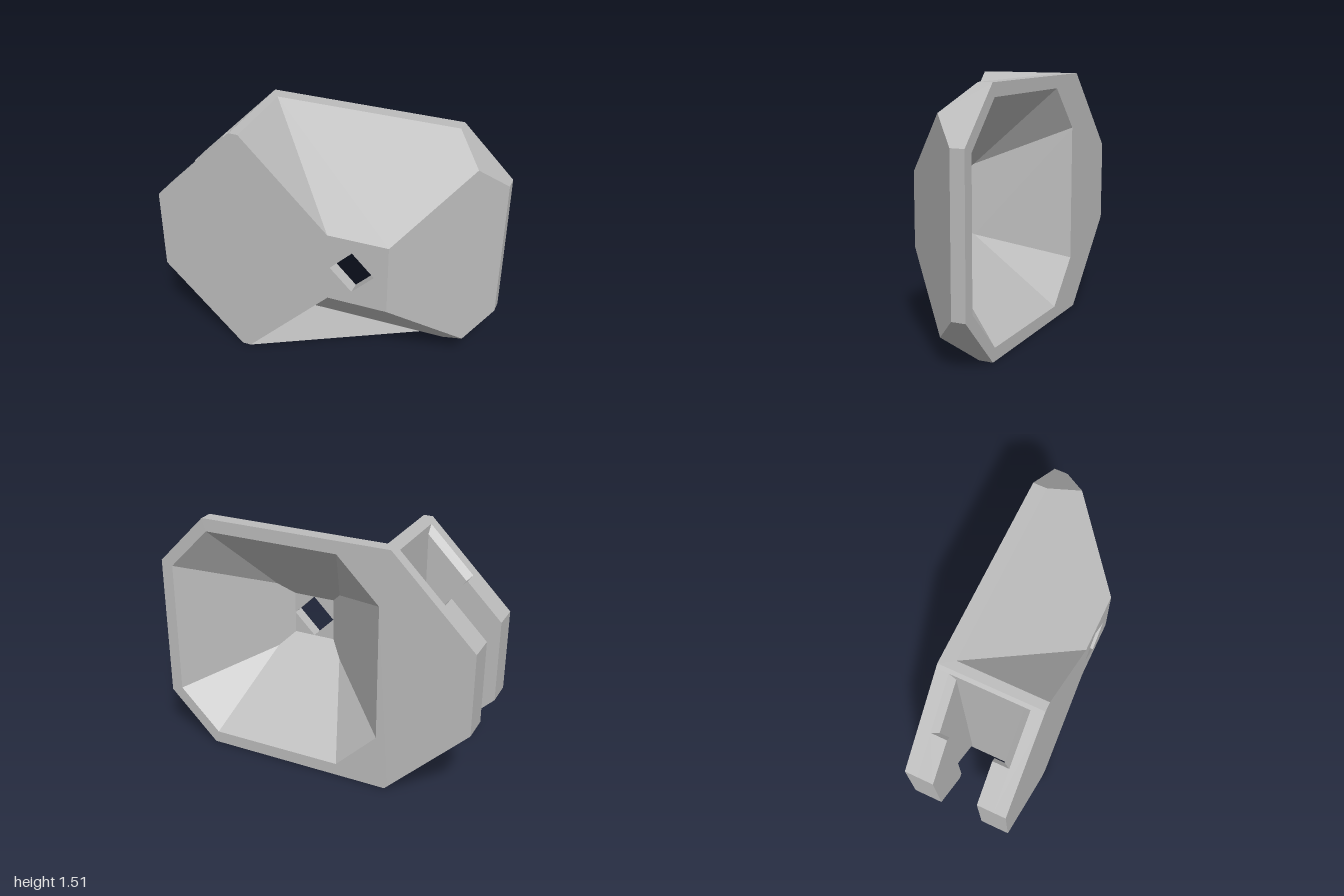
import * as THREE from 'three';

const H = 1.515;          // total height; everything is symmetric about H / 2
const Z = 0.31;           // half depth
const CX = 0.246, CY = H / 2; // axis of the hollow

const grey = new THREE.MeshStandardMaterial({ color: 0xbcbcbc });
grey.name = 'grey';
grey.flatShading = true;
grey.side = THREE.DoubleSide;

// Flat polygons (corner lists, counter-clockwise from outside) to one geometry
function polygons(list) {
  const pos = [];
  const [a, b, c] = [new THREE.Vector3(), new THREE.Vector3(), new THREE.Vector3()];
  for (const p of list) {
    for (let i = 1; i < p.length - 1; i++) {
      a.set(...p[0]); b.set(...p[i]); c.set(...p[i + 1]);
      const area = b.clone().sub(a).cross(c.clone().sub(a)).length();
      if (area > 1e-7) pos.push(...p[0], ...p[i], ...p[i + 1]);
    }
  }
  const g = new THREE.BufferGeometry();
  g.setAttribute('position', new THREE.Float32BufferAttribute(pos, 3));
  g.computeVertexNormals();
  return g;
}

// Same polygon on the lower half
const flip = (p) => p.map(([x, y, z]) => [x, H - y, z]).reverse();

// Quads joining consecutive loops of equal length
function loft(loops) {
  const quads = [];
  for (let k = 0; k < loops.length - 1; k++) {
    const a = loops[k], b = loops[k + 1], n = a.length;
    for (let i = 0; i < n; i++) {
      const j = (i + 1) % n;
      quads.push([a[i], b[i], b[j], a[j]]);
    }
  }
  return quads;
}

// Square with cut corners around the hollow's axis
function ring(h, cut, z) {
  const m = h - cut;
  return [[h, -m], [h, m], [m, h], [-m, h], [-h, m], [-h, -m], [-m, -h], [m, -h]]
    .map(([x, y]) => [CX + x, CY + y, z]);
}

// Closed shape from its upper edge (left to right), mirrored downwards
function halfShape(top) {
  const low = top.map(([x, y]) => [x, H - y]).reverse();
  return new THREE.Shape([...top, ...low].map(([x, y]) => new THREE.Vector2(x, y)));
}

function holeFrom(loop) {
  return new THREE.Path(loop.map(([x, y]) => new THREE.Vector2(x, y)));
}

function slab(shape, z0, z1) {
  return new THREE.ExtrudeGeometry(shape, { depth: z1 - z0, bevelEnabled: false }).translate(0, 0, z0);
}

export function createModel() {
  const model = new THREE.Group();
  const add = (parent, name, geometry) => {
    const mesh = new THREE.Mesh(geometry, grey);
    mesh.name = name;
    parent.add(mesh);
  };

  const rim = -0.225;              // front of the straight rear rim
  const xs = -0.515, xt = -0.495;  // slot end wall, start of the flat top
  const edge = (x) => x + 2.01;    // sloping upper edge of the mount end

  // Outer shell: rim, sloping hood and mount block
  const upper = [
    [[xs, edge(xs), -Z], [xs, edge(xs), Z], [xt, H, Z], [xt, H, -Z]],
    [[xt, H, -Z], [xt, H, Z], [-0.44, H, Z], [-0.44, H, rim], [0.69, H, rim], [0.69, H, -Z]],
    [[-0.44, H, rim], [0.095, 0.98, Z], [0.465, 0.98, Z], [0.845, 1.36, -0.07], [0.69, H, rim]],
    [[-0.44, H, rim], [-0.44, H, Z], [0.095, 0.98, Z]],
    [[0.69, H, -Z], [0.69, H, rim], [0.845, 1.36, -0.07], [1, 1.205, rim], [1, 1.205, -Z]],
  ];
  const sides = [
    [[0.465, 0.98, Z], [0.465, 0.535, Z], [0.845, 0.155, -0.07], [1, 0.31, rim], [1, 1.205, rim], [0.845, 1.36, -0.07]],
    [[1, 1.205, -Z], [1, 1.205, rim], [1, 0.31, rim], [1, 0.31, -Z]],
    [[xs, edge(xs), -Z], [xs, H - edge(xs), -Z], [xs, H - edge(xs), Z], [xs, edge(xs), Z]],
  ];
  add(model, 'outerShell', polygons([...upper, ...upper.map(flip), ...sides]));

  // Funnel-shaped hollow, its end wall and the diamond hole
  const loops = [
    ring(0.68, 0.26, -Z), ring(0.22, 0, 0.15), ring(0.136, 0, 0.235),
    ring(0.136, 0.136, 0.235), ring(0.136, 0.136, Z),
  ];
  add(model, 'hollow', polygons(loft(loops)));

  // Front face with the diamond hole
  const front = halfShape([[xs, edge(xs)], [xt, H], [-0.44, H], [0.095, 0.98], [0.465, 0.98]]);
  const d = 0.136;
  front.holes.push(holeFrom([[CX + d, CY], [CX, CY + d], [CX - d, CY], [CX, CY - d]]));
  add(model, 'frontFace', new THREE.ShapeGeometry(front).translate(0, 0, Z));

  // Rear face around the funnel opening
  const rear = halfShape([[xs, edge(xs)], [xt, H], [0.69, H], [1, 1.205]]);
  rear.holes.push(holeFrom(loops[0]));
  const rearFace = new THREE.ShapeGeometry(rear);
  const idx = rearFace.index.array;
  for (let i = 0; i < idx.length; i += 3) [idx[i], idx[i + 1]] = [idx[i + 1], idx[i]];
  rearFace.computeVertexNormals();
  add(model, 'rearFace', rearFace.translate(0, 0, -Z));

  // Slotted mount: a cheek, its bevelled lining and a lip on each side
  const c = 0.05, xl = -0.785, xi = -0.76;
  const lining = (z, drop) => [
    [xl, edge(xl) - drop, z], [xs, edge(xs) - drop, z],
    [xs, H - edge(xs) + drop, z], [xl, H - edge(xl) + drop, z],
  ];
  const inner = lining(0.195, c);
  for (const side of [1, -1]) {
    const mount = new THREE.Group();
    mount.name = side > 0 ? 'frontMount' : 'rearMount';
    add(mount, 'cheek', slab(halfShape([[-1, edge(-1)], [xs, edge(xs)]]), 0.235, Z));
    add(mount, 'lining', polygons([...loft([lining(0.235, 0), inner]), inner]));
    add(mount, 'lip', slab(halfShape([[-1, edge(-1)], [xl, edge(xl)], [xi, edge(xi) - c]]), 0.135, 0.235));
    mount.scale.z = side;
    model.add(mount);
  }
  return model;
}
